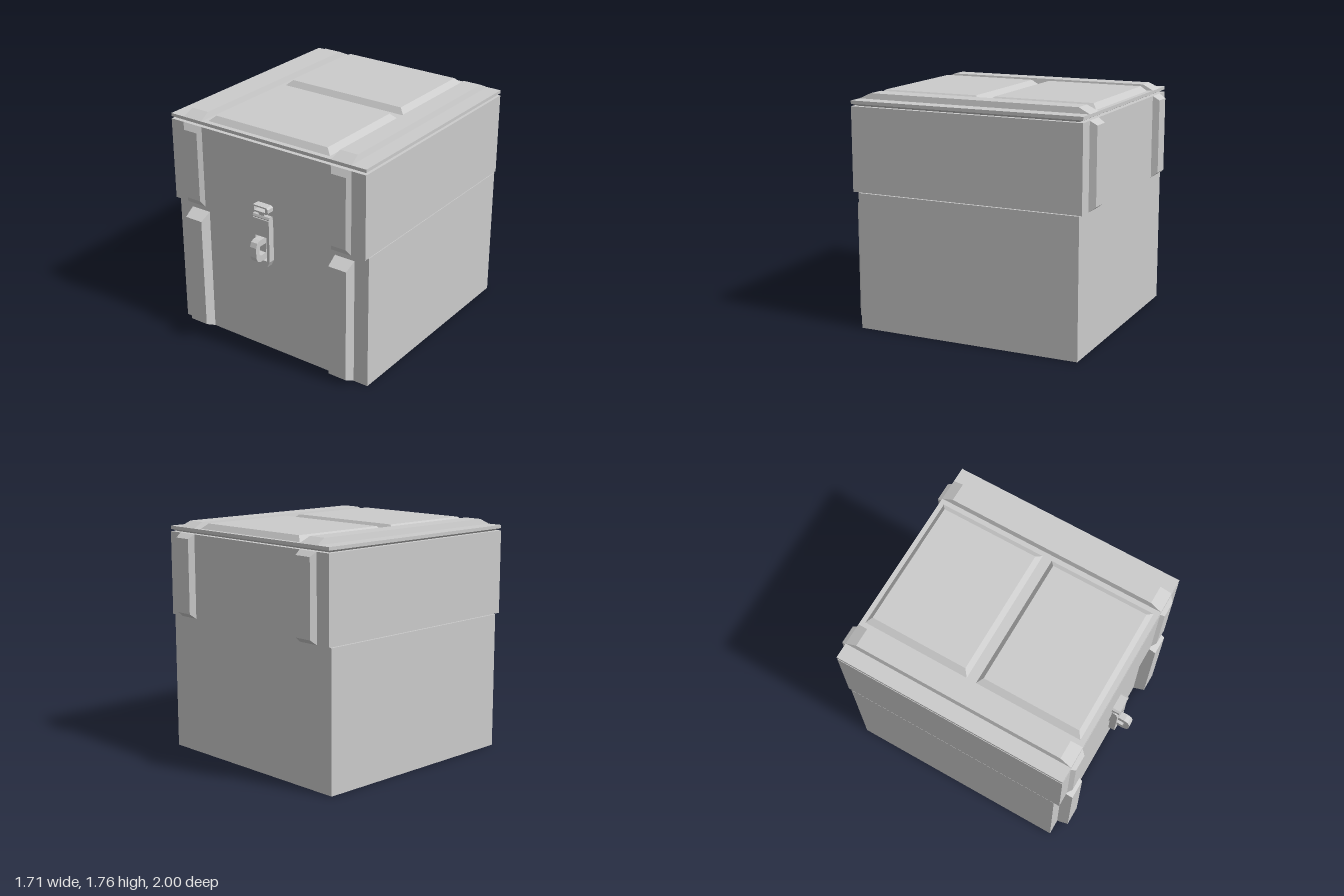
import * as THREE from 'three';

const material = new THREE.MeshStandardMaterial({ color: 0xcccccc, flatShading: true });

function add(parent, name, geometry, x = 0, y = 0, z = 0) {
  const mesh = new THREE.Mesh(geometry, material);
  mesh.name = name;
  mesh.position.set(x, y, z);
  parent.add(mesh);
  return mesh;
}

// Box given by its limits on each axis
function block(parent, name, x0, x1, y0, y1, z0, z1) {
  return add(parent, name, new THREE.BoxGeometry(x1 - x0, y1 - y0, z1 - z0),
    (x0 + x1) / 2, (y0 + y1) / 2, (z0 + z1) / 2);
}

// Bevelled slab rising along +z from rectangle a to rectangle b, each [x0, x1, y0, y1]
function bevelSlab(a, b, depth) {
  const g = new THREE.BoxGeometry(1, 1, 1);
  const p = g.attributes.position;
  for (let i = 0; i < p.count; i++) {
    const r = p.getZ(i) > 0 ? b : a;
    p.setXYZ(i, p.getX(i) < 0 ? r[0] : r[1], p.getY(i) < 0 ? r[2] : r[3], p.getZ(i) > 0 ? depth : 0);
  }
  g.computeVertexNormals();
  return g;
}

function polygon(points, type = THREE.Shape) {
  return new type(points.map(([x, y]) => new THREE.Vector2(x, y)));
}

const extrude = (shape, depth) => new THREE.ExtrudeGeometry(shape, { depth, bevelEnabled: false });

export function createModel() {
  const model = new THREE.Group();
  model.name = 'crate';
  const W = 0.857, F = 0.855, B = -0.95;

  // Main boxes
  block(model, 'base', -W, W, 0, 1.037, -0.93, 0.81);
  const lid = new THREE.Group();
  lid.name = 'lid';
  model.add(lid);
  block(lid, 'lidBox', -W, W, 1.042, 1.675, B, F);

  // Top plate with an undercut lower edge
  block(lid, 'topPlate', -W, W, 1.693, 1.717, B, F);
  const under = bevelSlab([-0.82, 0.82, -0.81, 0.91], [-W, W, -F, -B], 0.018);
  add(lid, 'topPlateUndercut', under.rotateX(-Math.PI / 2), 0, 1.675, 0);

  // Raised panels on the top
  for (const [z0, z1] of [[-0.915, -0.085], [-0.01, 0.815]]) {
    const panel = bevelSlab([-0.535, 0.535, -z1, -z0], [-0.49, 0.49, -z1 + 0.036, -z0 - 0.036], 0.04);
    add(lid, 'topPanel', panel.rotateX(-Math.PI / 2), 0, 1.717, 0);
  }

  // Reinforcing ribs on base, lid front, lid back and lid top
  for (const side of [-1, 1]) {
    const x = side * 0.655;
    add(model, 'baseRib', bevelSlab([-0.083, 0.083, 0, 0.98], [-0.075, 0.075, 0.05, 0.93], 0.09), x, 0, 0.81);
    add(lid, 'lidFrontRib', bevelSlab([-0.085, 0.085, 1.042, 1.675], [-0.06, 0.06, 1.09, 1.63], 0.03), x, 0, F);
    add(lid, 'lidBackRib', bevelSlab([-0.083, 0.083, 1.042, 1.675], [-0.07, 0.07, 1.08, 1.643], 0.05), x, 0, B)
      .rotation.y = Math.PI;
    const top = bevelSlab([-0.083, 0.083, -F, -B], [-0.072, 0.072, -0.765, 0.865], 0.042);
    add(lid, 'lidTopRib', top.rotateX(-Math.PI / 2), x, 1.717, 0);
  }

  // Latch
  const latch = new THREE.Group();
  latch.name = 'latch';
  latch.position.x = -0.006;
  model.add(latch);

  // Slotted hasp plate with clipped lower corners
  const hasp = polygon([[-0.074, 1.125], [-0.074, 0.8], [-0.05, 0.753], [0.05, 0.753], [0.074, 0.8], [0.074, 1.125]]);
  hasp.holes.push(polygon([[-0.05, 0.8], [-0.05, 0.99], [0.05, 0.99], [0.05, 0.8]], THREE.Path));
  add(latch, 'haspPlate', extrude(hasp, 0.05), 0, 0, 0.858);

  // Hinge above the plate
  const barrel = new THREE.CylinderGeometry(0.022, 0.022, 0.148, 8).rotateZ(Math.PI / 2);
  add(latch, 'hingeBarrel', barrel, 0, 1.135, 0.882);
  block(latch, 'hingeNeck', -0.023, 0.023, 1.14, 1.18, F, 0.897);

  // Framed upper catch
  const catchFrame = polygon([[-0.074, 1.19], [-0.06, 1.178], [0.06, 1.178], [0.074, 1.19],
    [0.074, 1.218], [0.06, 1.23], [-0.06, 1.23], [-0.074, 1.218]]);
  catchFrame.holes.push(polygon([[-0.05, 1.19], [-0.05, 1.22], [0.05, 1.22], [0.05, 1.19]], THREE.Path));
  add(latch, 'catchFrame', extrude(catchFrame, 0.06), 0, 0, F);

  // Padlock staple passing through the slot
  const staple = polygon([[0.81, 0.81], [0.955, 0.81], [0.985, 0.825], [1, 0.86],
    [1, 0.935], [0.985, 0.97], [0.955, 0.983], [0.81, 0.983]]);
  staple.holes.push(polygon([[0.89, 0.86], [0.89, 0.935], [0.95, 0.935], [0.963, 0.92],
    [0.963, 0.875], [0.95, 0.86]], THREE.Path));
  add(latch, 'staple', extrude(staple, 0.056).rotateY(-Math.PI / 2), 0.028, 0, 0);

  return model;
}
